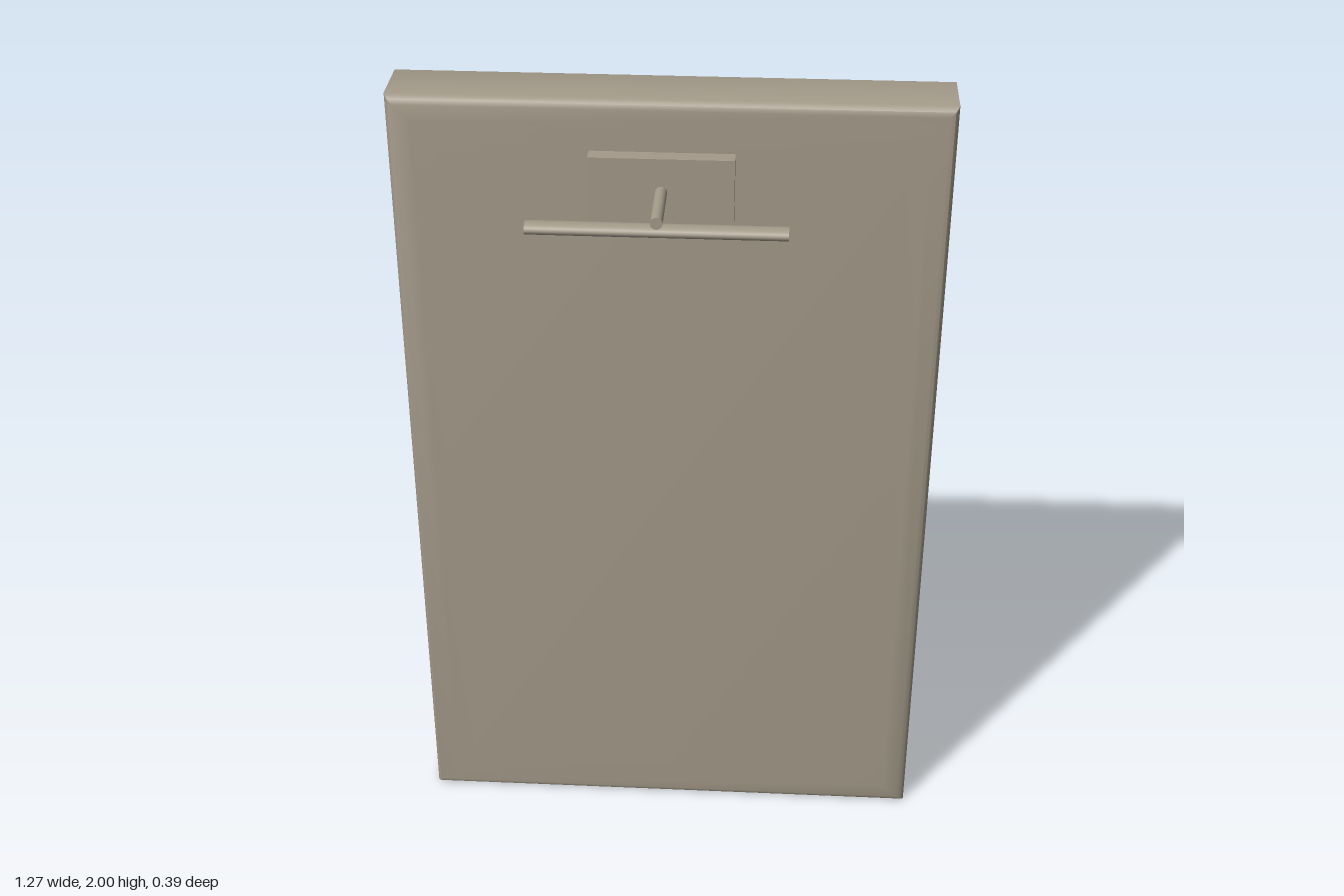
import * as THREE from 'three';
import { toCreasedNormals } from 'three/addons/utils/BufferGeometryUtils.js';

// Rectangular slab lofted from mitred rectangles, with softened front and back edges
function slabGeometry(x0, x1, y0, y1, zMid) {
  // [inset from the outline, distance from the mid plane]
  const edge = [[0, 0.07], [0.003, 0.078], [0.009, 0.086], [0.02, 0.091], [0.06, 0.093], [0.11, 0.096]];
  const loops = [
    ...[...edge].reverse().map(([i, d]) => [i, zMid - d]),
    ...edge.map(([i, d]) => [i, zMid + d]),
  ];
  const pos = [];
  for (const [i, z] of loops) {
    pos.push(x0 + i, y0 + i, z, x1 - i, y0 + i, z, x1 - i, y1 - i, z, x0 + i, y1 - i, z);
  }
  const index = [0, 2, 1, 0, 3, 2];
  for (let l = 0; l < loops.length - 1; l++) {
    for (let c = 0; c < 4; c++) {
      const a = l * 4 + c, b = l * 4 + (c + 1) % 4;
      index.push(a, b, b + 4, a, b + 4, a + 4);
    }
  }
  const e = (loops.length - 1) * 4;
  index.push(e, e + 1, e + 2, e, e + 2, e + 3);
  const g = new THREE.BufferGeometry();
  g.setAttribute('position', new THREE.Float32BufferAttribute(pos, 3));
  g.setIndex(index);
  return toCreasedNormals(g, 0.7);
}

export function createModel() {
  const group = new THREE.Group();
  const stone = new THREE.MeshStandardMaterial({ color: 0xa39a89 });
  stone.name = 'warm grey';

  const add = (name, geometry, x = 0, y = 0, z = 0) => {
    const mesh = new THREE.Mesh(geometry, stone);
    mesh.name = name;
    mesh.position.set(x, y, z);
    group.add(mesh);
    return mesh;
  };

  // Door panel
  add('panel', slabGeometry(-0.638, 0.636, 0, 2, -0.1));

  // Handle: mounting plate, stem and flattened cross bar
  add('mountingPlate', new THREE.BoxGeometry(0.328, 0.158, 0.04), -0.017, 1.806, 0.014);
  add('handleStem', new THREE.CylinderGeometry(0.014, 0.014, 0.165, 24).rotateX(Math.PI / 2), -0.017, 1.805, 0.113);
  const bar = new THREE.CylinderGeometry(1, 1, 0.578, 24).rotateZ(Math.PI / 2).scale(1, 0.014, 0.023);
  add('handleBar', bar, -0.018, 1.777, 0.17);

  return group;
}
